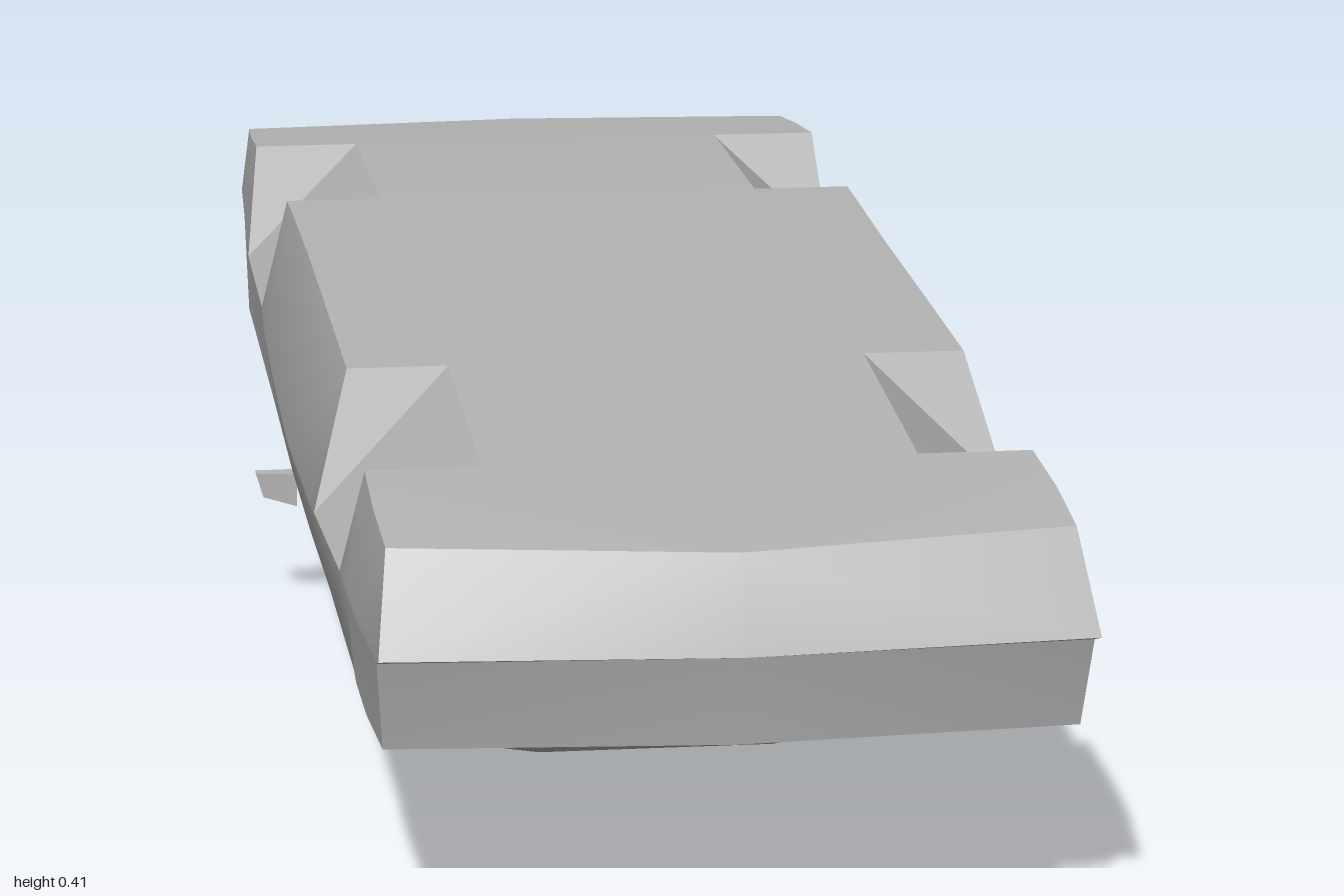
import * as THREE from 'three';
import { toCreasedNormals } from 'three/addons/utils/BufferGeometryUtils.js';

const bodyGrey = new THREE.MeshStandardMaterial({ color: 0xb4b4b4 });
bodyGrey.name = 'body grey';

const V = (x, y, z) => new THREE.Vector3(x, y, z);
const INNER = 0.21; // inner edge of the wheel wells

// Collects triangles, each mirrored across x = 0
function faceList() {
  const pos = [];
  const tri = (a, b, c) => {
    if (V().subVectors(b, a).cross(V().subVectors(c, a)).length() < 1e-8) return;
    for (const p of [a, b, c]) pos.push(p.x, p.y, p.z);
    for (const p of [a, c, b]) pos.push(-p.x, p.y, p.z);
  };
  const quad = (a, b, c, d, flip) => {
    if (flip) { tri(a, b, d); tri(b, c, d); } else { tri(a, b, c); tri(a, c, d); }
  };
  const mesh = (name, crease) => {
    const g = new THREE.BufferGeometry();
    g.setAttribute('position', new THREE.Float32BufferAttribute(pos, 3));
    const m = new THREE.Mesh(toCreasedNormals(g, crease), bodyGrey);
    m.name = name;
    return m;
  };
  return { quad, mesh };
}

// Half cross-section, from the middle of the flat underside round to the roof centre
function ring([z, yTop, xTop, xMid, yMid, xBelt, yBelt, yEdge, yRoof, well]) {
  const mid = V(xMid, yMid, z), belt = V(xBelt, yBelt, z);
  return [
    V(0, yTop, z), V(INNER, yTop, z), well ? mid.clone() : V(xTop, yTop, z),
    mid, mid.clone().lerp(belt, 0.1), belt,
    V(0.235, yEdge, z), V(0.12, yRoof, z), V(0, yRoof, z),
  ];
}

// Bowed end section: rows 2..5 have a centre z and a corner z
function bow(points, centre, corner) {
  const rowOf = [0, 0, 0, 1, 2, 3, 3, 3, 3];
  points.forEach((p, k) => {
    const r = rowOf[k];
    const half = points[r + 2].x;
    p.z = THREE.MathUtils.lerp(centre[r], corner[r], p.x / half);
  });
  return points;
}

export function createModel() {
  const car = new THREE.Group();
  car.name = 'upturnedCarBody';

  // z, yTop, xTop, xMid, yMid, xBelt, yBelt, yEdge, yRoof, inside wheel well
  const stations = [
    [0.95, 0.378, 0.322, 0.335, 0.288, 0.327, 0.188, 0.188, 0.188, 0],
    [0.8, 0.386, 0.324, 0.34, 0.28, 0.332, 0.185, 0.176, 0.172, 0],
    [0.685, 0.392, 0.322, 0.342, 0.28, 0.332, 0.182, 0.168, 0.16, 0],
    [0.635, 0.395, 0.32, 0.343, 0.28, 0.33, 0.18, 0.163, 0.155, 1],
    [0.405, 0.407, 0.315, 0.35, 0.276, 0.33, 0.178, 0.048, 0.028, 1],
    [0.355, 0.41, 0.312, 0.352, 0.276, 0.33, 0.178, 0.02, 0.002, 0],
    [0.1, 0.411, 0.312, 0.356, 0.276, 0.332, 0.175, 0.018, 0, 0],
    [-0.14, 0.411, 0.312, 0.352, 0.276, 0.332, 0.172, 0.025, 0.01, 0],
    [-0.35, 0.411, 0.314, 0.347, 0.278, 0.33, 0.17, 0.153, 0.143, 0],
    [-0.42, 0.41, 0.315, 0.344, 0.28, 0.33, 0.172, 0.157, 0.148, 0],
    [-0.46, 0.409, 0.317, 0.342, 0.28, 0.33, 0.173, 0.16, 0.15, 1],
    [-0.715, 0.402, 0.325, 0.34, 0.28, 0.33, 0.178, 0.17, 0.163, 1],
    [-0.76, 0.4, 0.326, 0.338, 0.285, 0.33, 0.179, 0.172, 0.166, 0],
    [-0.87, 0.388, 0.325, 0.334, 0.293, 0.33, 0.18, 0.175, 0.171, 0],
    [-0.95, 0.375, 0.32, 0.33, 0.302, 0.325, 0.18, 0.178, 0.176, 0],
  ];
  const rings = stations.map(ring);
  const first = bow(rings[0], [0.965, 1, 0.96, 0.945], [0.91, 0.975, 0.945, 0.92]);
  const last = bow(rings.at(-1), [-1, -1, -0.955, -0.945], [-0.978, -0.975, -0.945, -0.935]);

  // Flat underside with sloped wheel wells, and the rounded shell
  const underside = faceList(), shell = faceList();
  for (let i = 0; i < rings.length - 1; i++) {
    const leavingWell = stations[i][9] && !stations[i + 1][9];
    for (let k = 0; k < 8; k++) {
      const P = rings[i], Q = rings[i + 1];
      (k < 2 ? underside : shell).quad(P[k], P[k + 1], Q[k + 1], Q[k], leavingWell && k === 1);
    }
  }
  car.add(underside.mesh('undersideAndWheelWells', 0.35), shell.mesh('bodyShell', 1.0));

  // Bumper faces with a step below the lip
  const frontZ = [0.965, 1, 0.96, 0.945], backZ = [-1, -1, -0.955, -0.945];
  for (const [name, end, zs, back] of [['frontBumper', first, frontZ, false], ['rearBumper', last, backZ, true]]) {
    const cap = faceList();
    for (let r = 0; r < 3; r++) {
      const s0 = end[r + 2], s1 = end[r + 3];
      const c0 = V(0, s0.y, zs[r]), c1 = V(0, s1.y, zs[r + 1]);
      if (back) cap.quad(c0, s0, s1, c1); else cap.quad(c0, c1, s1, s0);
    }
    car.add(cap.mesh(name, 0.5));
  }

  // Small tapered side mirrors
  for (const side of [1, -1]) {
    const g = new THREE.BoxGeometry(0.044, 0.036, 0.024);
    const p = g.attributes.position;
    for (let i = 0; i < p.count; i++) {
      const outer = p.getX(i) * side > 0;
      if (outer && p.getY(i) < 0) p.setXY(i, p.getX(i) - side * 0.008, -0.009);
      if (outer) p.setZ(i, p.getZ(i) * 0.6 - 0.004);
    }
    g.computeVertexNormals();
    const mirror = new THREE.Mesh(g, bodyGrey);
    mirror.name = side > 0 ? 'leftMirror' : 'rightMirror';
    mirror.position.set(side * 0.344, 0.129, -0.238);
    car.add(mirror);
  }
  return car;
}
